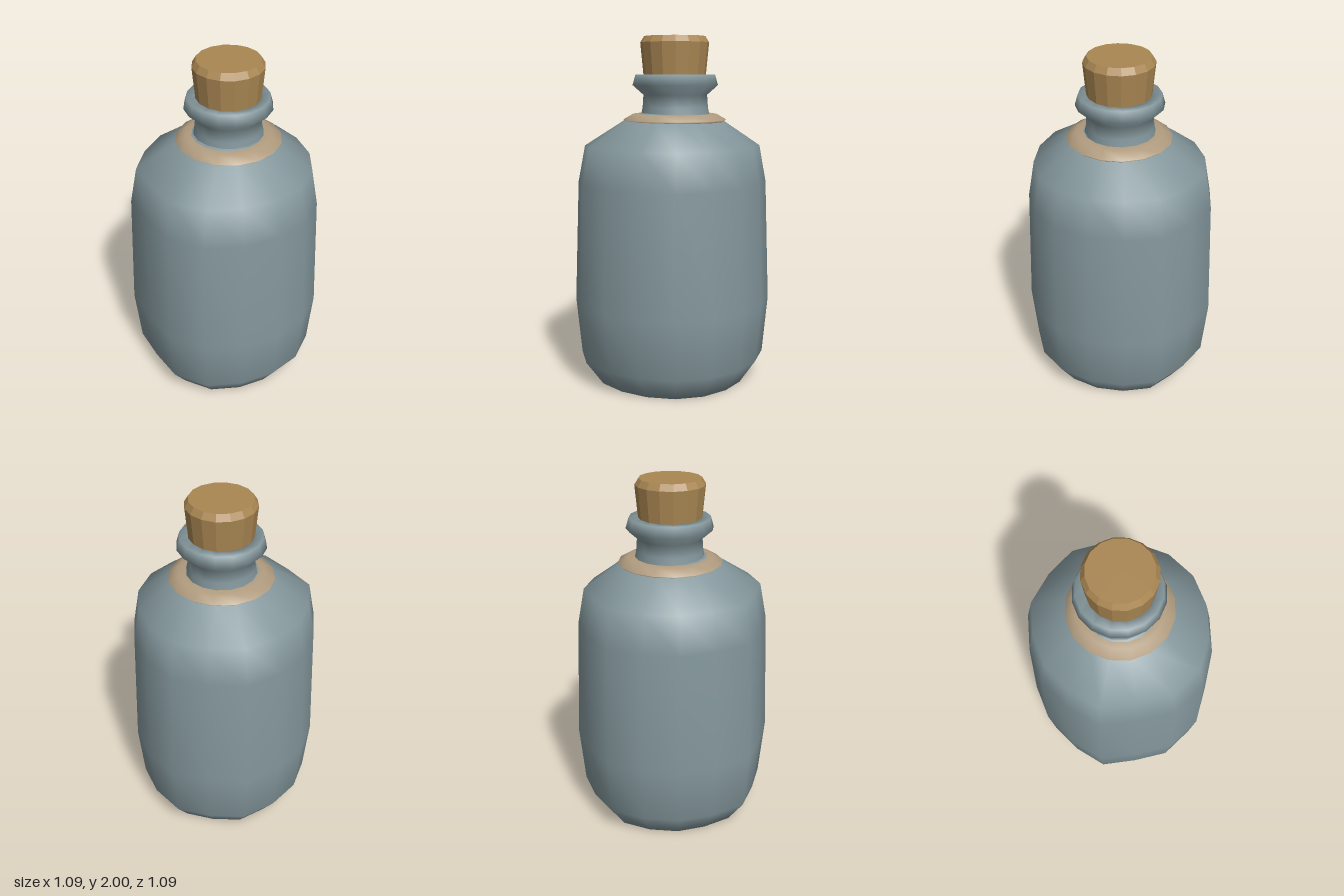
import * as THREE from 'three';
import { mergeVertices } from 'three/addons/utils/BufferGeometryUtils.js';

const SIDES = 16;
// Hand-made unevenness of the glass: radius at each side, from +z round through +x
const WOBBLE = [0.545, 0.548, 0.544, 0.537, 0.542, 0.565, 0.55, 0.57,
  0.55, 0.55, 0.55, 0.583, 0.55, 0.583, 0.585, 0.555].map((r) => r / 0.547);

// Smooth lathe whose sides can be pushed in or out, fading away near the neck
function turned(profile, wobbly) {
  let geo = new THREE.LatheGeometry(profile.map(([r, y]) => new THREE.Vector2(r, y)), SIDES);
  if (wobbly) {
    const p = geo.attributes.position;
    for (let i = 0; i < p.count; i++) {
      const side = Math.floor(i / profile.length) % SIDES;
      const fade = THREE.MathUtils.clamp((1.56 - p.getY(i)) / 0.18, 0, 1);
      const k = 1 + (WOBBLE[side] - 1) * fade;
      p.setXYZ(i, p.getX(i) * k, p.getY(i), p.getZ(i) * k);
    }
  }
  geo.deleteAttribute('uv');
  geo.deleteAttribute('normal');
  geo = mergeVertices(geo, 1e-4);
  geo.computeVertexNormals();
  return geo;
}

export function createModel() {
  const glass = new THREE.MeshStandardMaterial({ name: 'blue grey glass', color: 0x84979c });
  const cork = new THREE.MeshStandardMaterial({ name: 'cork brown', color: 0xaa8753, flatShading: true });
  const twine = new THREE.MeshStandardMaterial({ name: 'pale twine', color: 0xb19c7f });

  const group = new THREE.Group();
  group.name = 'corkedBottle';
  const add = (name, geometry, material, x = 0, z = 0) => {
    const mesh = new THREE.Mesh(geometry, material);
    mesh.name = name;
    mesh.position.set(x, 0, z);
    group.add(mesh);
  };

  // Body with base, belly and sloping shoulder
  add('body', turned([[0, 0], [0.42, 0], [0.515, 0.14], [0.545, 0.47], [0.52, 1.17],
    [0.482, 1.38], [0.275, 1.53], [0.18, 1.57]], true), glass);

  // Neck and flared lip, closed in towards the cork
  add('neck', turned([[0.2, 1.54], [0.188, 1.6], [0.183, 1.67], [0.245, 1.725],
    [0.228, 1.785], [0.16, 1.785], [0.15, 1.7]]), glass, 0.008, -0.004);

  // Collar round the foot of the neck
  add('collar', turned([[0.2, 1.51], [0.28, 1.515], [0.296, 1.53], [0.24, 1.562],
    [0.17, 1.562]]), twine, 0.006);

  // Tapered stopper with a bevelled top
  add('stopper', turned([[0, 1.64], [0.165, 1.64], [0.196, 1.965], [0.174, 2], [0, 2]]),
    cork, 0.006);

  return group;
}
